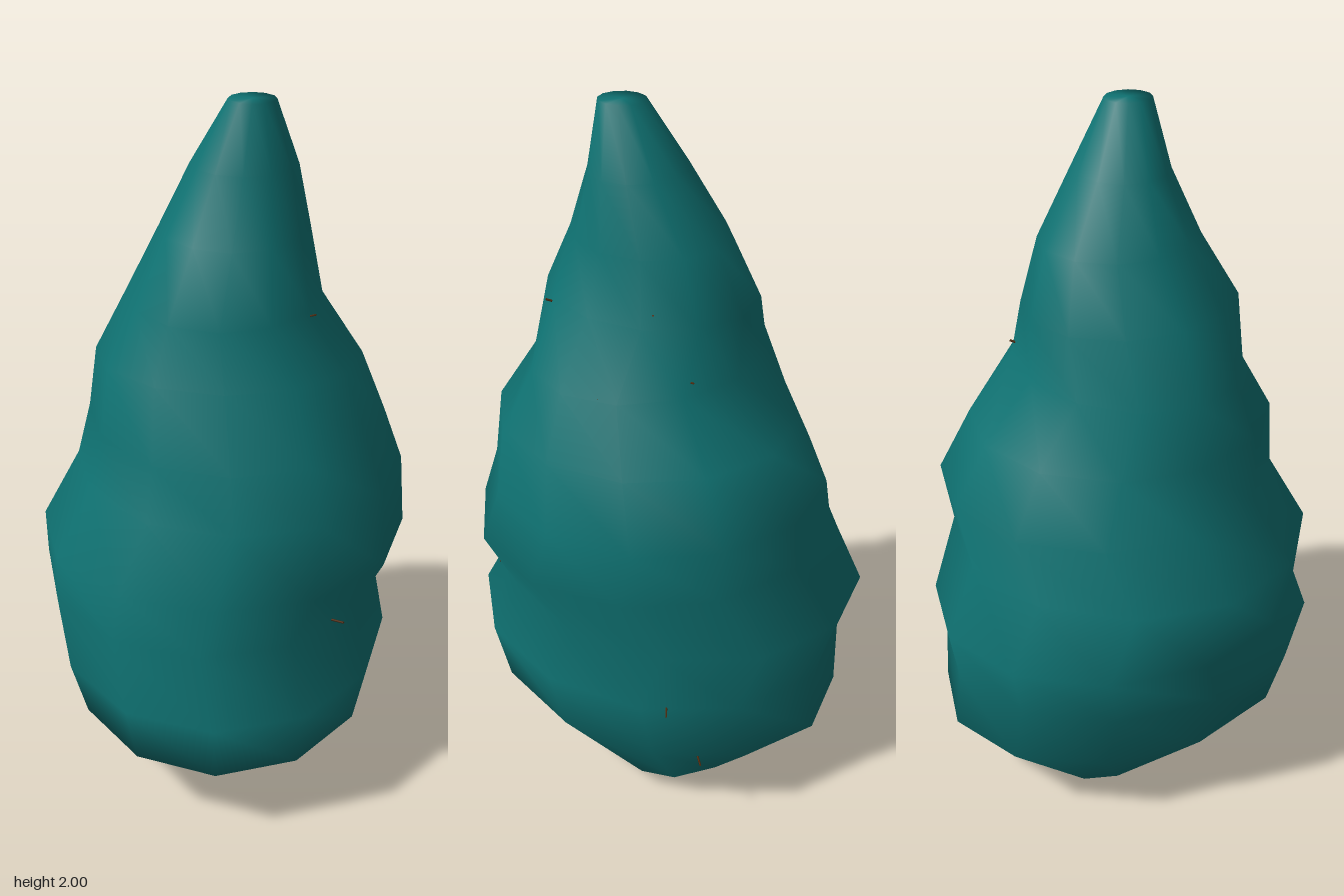
import * as THREE from 'three';

const SIDES = 12;

// Foliage rings, bottom to top: [xMin, xMax, zMin, zMax]
const RINGS = [
  [-0.28, 0.32, -0.365, 0.0],
  [-0.445, 0.45, -0.565, 0.56],
  [-0.49, 0.485, -0.55, 0.595],
  [-0.53, 0.45, -0.59, 0.505],
  [-0.52, 0.525, -0.485, 0.545],
  [-0.42, 0.515, -0.505, 0.46],
  [-0.375, 0.455, -0.41, 0.455],
  [-0.35, 0.385, -0.275, 0.335],
  [-0.26, 0.27, -0.275, 0.34],
  [-0.17, 0.235, -0.21, 0.24],
  [-0.085, 0.2, -0.095, 0.165],
  [0.015, 0.14, 0.005, 0.135],
];

// Tips of the thin twigs that just pierce the foliage
const TWIG_TIPS = [
  [0.25, 1.47, 0.2], [0.35, 0.61, 0.34], [0.2, 1.68, 0.11], [0.21, 1.51, -0.14],
  [0.18, 1.34, -0.25], [0.35, 1.3, -0.07], [0.41, 0.43, -0.35], [0.33, 0.23, -0.41],
  [-0.29, 0.5, -0.45], [-0.37, 0.9, -0.25], [-0.28, 0.58, 0.43],
];

function foliageGeometry() {
  const pos = [], index = [];
  const y0 = 0.065, y1 = 2;
  RINGS.forEach(([xa, xb, za, zb], r) => {
    const y = y0 + (y1 - y0) * r / (RINGS.length - 1);
    for (let s = 0; s < SIDES; s++) {
      const a = s / SIDES * Math.PI * 2;
      pos.push((xa + xb) / 2 + Math.sin(a) * (xb - xa) / 2, y, (za + zb) / 2 + Math.cos(a) * (zb - za) / 2);
    }
  });
  for (let r = 0; r < RINGS.length - 1; r++) {
    for (let s = 0; s < SIDES; s++) {
      const a = r * SIDES + s, b = r * SIDES + (s + 1) % SIDES;
      index.push(a, b, a + SIDES, b, b + SIDES, a + SIDES);
    }
  }
  // Close the tip; the bottom stays open around the trunk
  const top = (RINGS.length - 1) * SIDES, tip = pos.length / 3;
  pos.push(0.078, y1, 0.07);
  for (let s = 0; s < SIDES; s++) index.push(top + s, top + (s + 1) % SIDES, tip);
  const g = new THREE.BufferGeometry();
  g.setAttribute('position', new THREE.Float32BufferAttribute(pos, 3));
  g.setIndex(index);
  g.computeVertexNormals();
  return g;
}

// Tapered round limb between two points
function limb(name, from, to, r0, r1, sides, material) {
  const dir = to.clone().sub(from);
  const mesh = new THREE.Mesh(new THREE.CylinderGeometry(r1, r0, dir.length(), sides), material);
  mesh.position.copy(from).addScaledVector(dir, 0.5);
  mesh.quaternion.setFromUnitVectors(new THREE.Vector3(0, 1, 0), dir.normalize());
  mesh.name = name;
  return mesh;
}

export function createModel() {
  const group = new THREE.Group();
  group.name = 'tree';
  const leaf = new THREE.MeshStandardMaterial({ color: 0x0f7272, side: THREE.DoubleSide });
  const bark = new THREE.MeshStandardMaterial({ color: 0x573012 });

  const foliage = new THREE.Mesh(foliageGeometry(), leaf);
  foliage.name = 'foliage';
  group.add(foliage);

  // Trunk, rising inside the foliage to just below the tip
  const base = new THREE.Vector3(-0.042, 0, -0.012);
  const crown = new THREE.Vector3(0.06, 1.85, 0.05);
  group.add(limb('trunk', base, crown, 0.052, 0.012, 8, bark));

  // Twigs climbing outward from the trunk
  const twigs = new THREE.Group();
  twigs.name = 'twigs';
  for (const t of TWIG_TIPS) {
    const tip = new THREE.Vector3(...t);
    const root = base.clone().lerp(crown, Math.max(0.06, (tip.y - 0.12) / 1.85));
    twigs.add(limb('twig', root, tip, 0.006, 0.003, 4, bark));
  }
  group.add(twigs);
  return group;
}
